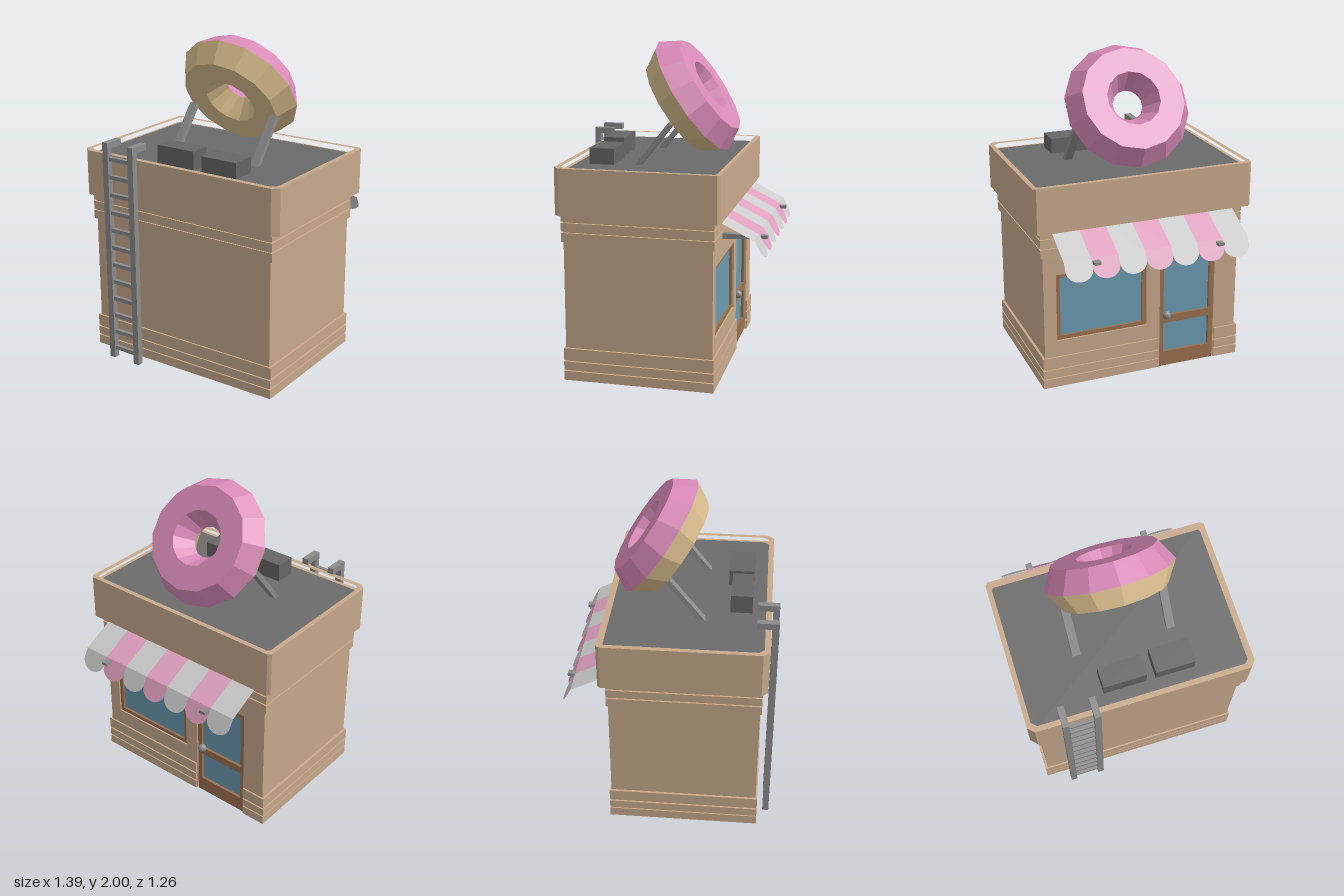
import * as THREE from 'three';

const mat = (color, opts = {}) => {
  const m = new THREE.MeshStandardMaterial({ color, ...opts });
  m.flatShading = true;
  return m;
};
const WALL = mat(0xc8a98c), ROOF = mat(0x6b6b6b), METAL = mat(0x8c8c8c), UNIT = mat(0x666666);
const WOOD = mat(0x9a7050), GLASS = mat(0x6a9ab0), DOUGH = mat(0xd8bc8c), ICING = mat(0xd98ab8);
const CLOTH = [mat(0xcccccc, { side: THREE.DoubleSide }), mat(0xe0a0c0, { side: THREE.DoubleSide })];

function add(parent, name, geometry, material) {
  const mesh = new THREE.Mesh(geometry, material);
  mesh.name = name;
  parent.add(mesh);
  return mesh;
}

// Box given by its limits on each axis
function box(parent, name, material, [x0, x1], [y0, y1], [z0, z1]) {
  const g = new THREE.BoxGeometry(x1 - x0, y1 - y0, z1 - z0);
  g.translate((x0 + x1) / 2, (y0 + y1) / 2, (z0 + z1) / 2);
  return add(parent, name, g, material);
}

const outline = (pts) => new THREE.Shape(pts.map(([a, b]) => new THREE.Vector2(a, b)));
const rect = (x0, x1, y0, y1) => outline([[x0, y0], [x1, y0], [x1, y1], [x0, y1]]);

// Horizontal slab from a plan outline of [x, z] points
function slab(parent, name, material, plan, y0, y1, hole) {
  const flip = (pts) => outline(pts.map(([x, z]) => [x, -z]));
  const shape = flip(plan);
  if (hole) shape.holes.push(flip(hole));
  const g = new THREE.ExtrudeGeometry(shape, { depth: y1 - y0, bevelEnabled: false });
  g.rotateX(-Math.PI / 2).translate(0, y0, 0);
  return add(parent, name, g, material);
}

// Upright panel with holes, between two depths
function panel(parent, name, material, shape, holes, z0, z1) {
  shape.holes.push(...holes);
  const g = new THREE.ExtrudeGeometry(shape, { depth: z1 - z0, bevelEnabled: false });
  g.translate(0, 0, z0);
  return add(parent, name, g, material);
}

// Rectangle plan with cut corners
const chamfered = (x, zb, zf, cb, cf) => [
  [-x + cb, zb], [x - cb, zb], [x, zb + cb], [x, zf - cf],
  [x - cf, zf], [-x + cf, zf], [-x, zf - cf], [-x, zb + cb],
];

function building() {
  const g = new THREE.Group();
  g.name = 'building';
  box(g, 'body', WALL, [-0.635, 0.635], [0.02, 1.04], [-0.3, 0.545]);

  // Shop wall with door notch and window opening
  const wall = outline([[-0.635, 0.02], [-0.485, 0.02], [-0.485, 0.77], [-0.115, 0.77],
    [-0.115, 0.02], [0.635, 0.02], [0.635, 1.04], [-0.635, 1.04]]);
  panel(g, 'shopWall', WALL, wall, [rect(-0.025, 0.555, 0.325, 0.755)], -0.345, -0.3);

  // Trim bands; the lower ones break at the door
  const b = 0.65, zb = -0.355, zf = 0.555;
  const full = [[-b, zb], [b, zb], [b, zf], [-b, zf]];
  const notched = [[-b, zb], [-0.49, zb], [-0.49, -0.3], [-0.11, -0.3], [-0.11, zb], [b, zb], [b, zf], [-b, zf]];
  for (const [y0, y1] of [[0.02, 0.077], [0.085, 0.137], [0.147, 0.22]]) slab(g, 'baseBand', WALL, notched, y0, y1);
  for (const [y0, y1] of [[0.875, 0.93], [0.938, 0.99], [0.998, 1.04]]) slab(g, 'upperBand', WALL, full, y0, y1);

  // Parapet and roof
  const outer = chamfered(0.695, -0.395, 0.585, 0.018, 0.038);
  const inner = chamfered(0.665, -0.365, 0.552, 0.012, 0.03);
  slab(g, 'parapet', WALL, outer, 1.04, 1.28);
  slab(g, 'parapetRim', WALL, outer, 1.28, 1.32, inner);
  slab(g, 'roof', ROOF, inner, 1.279, 1.286);
  return g;
}

function shopfront() {
  const g = new THREE.Group();
  g.name = 'shopfront';
  panel(g, 'windowFrame', WOOD, rect(-0.025, 0.555, 0.325, 0.755), [rect(0, 0.53, 0.35, 0.73)], -0.335, -0.3);
  box(g, 'windowGlass', GLASS, [0, 0.53], [0.35, 0.73], [-0.32, -0.3]);

  panel(g, 'door', WOOD, rect(-0.485, -0.115, 0.02, 0.77),
    [rect(-0.455, -0.145, 0.11, 0.31), rect(-0.455, -0.145, 0.36, 0.735)], -0.335, -0.3);
  box(g, 'doorGlass', GLASS, [-0.455, -0.145], [0.11, 0.735], [-0.318, -0.3]);
  box(g, 'doorstep', WOOD, [-0.485, -0.115], [0.012, 0.03], [-0.335, -0.23]);
  add(g, 'doorKnob', new THREE.IcosahedronGeometry(0.027, 1), METAL).position.set(-0.16, 0.37, -0.35);
  return g;
}

function awning() {
  const g = new THREE.Group();
  g.name = 'awning';
  const n = 7, w = 1.16 / n;
  for (let i = 0; i < n; i++) {
    const x = -0.58 + w * (i + 0.5);
    // Sloping stripe
    const top = new THREE.PlaneGeometry(w, 0.248);
    top.translate(0, -0.124, 0).rotateX(1.107);
    add(g, 'awningStripe', top, CLOTH[i % 2]).position.set(x, 1.04, -0.35);
    // Scalloped valance
    const s = new THREE.Shape();
    s.moveTo(w / 2, 0);
    s.lineTo(-w / 2, 0);
    s.lineTo(-w / 2, -0.055);
    s.absellipse(0, -0.055, w / 2, 0.07, Math.PI, 2 * Math.PI, false);
    s.lineTo(w / 2, 0);
    const flap = new THREE.ShapeGeometry(s, 8);
    flap.rotateX(0.5);
    add(g, 'awningScallop', flap, CLOTH[i % 2]).position.set(x, 0.93, -0.572);
  }
  // Tapered brackets
  for (const x of [-0.39, 0.39]) {
    const s = outline([[0.34, 0.885], [0.62, 0.903], [0.62, 0.92], [0.34, 0.92]]);
    const arm = new THREE.ExtrudeGeometry(s, { depth: 0.04, bevelEnabled: false });
    arm.translate(0, 0, -0.02).rotateY(Math.PI / 2);
    add(g, 'awningBracket', arm, METAL).position.x = x;
  }
  return g;
}

function donutSign() {
  const g = new THREE.Group();
  g.name = 'donutSign';
  const ring = new THREE.Group();
  ring.name = 'donut';
  const lathe = (pts) => new THREE.LatheGeometry(pts.map(([r, y]) => new THREE.Vector2(r, y)), 14);
  const h = 0.127;
  add(ring, 'icing', lathe([[0.39, 0], [0.316, h], [0.166, h], [0.093, 0]]), ICING);
  add(ring, 'dough', lathe([[0.093, 0], [0.166, -h], [0.316, -h], [0.39, 0]]), DOUGH);
  ring.position.set(0, 1.667, -0.09);
  ring.rotation.x = -0.977;
  g.add(ring);

  // Leaning struts
  for (const x of [-0.293, 0.293]) {
    const strut = add(g, 'strut', new THREE.BoxGeometry(0.05, 0.34, 0.03), METAL);
    strut.position.set(x, 1.405, 0.085);
    strut.rotation.x = -0.67;
  }
  return g;
}

function ladder() {
  const g = new THREE.Group();
  g.name = 'ladder';
  for (const x of [-0.5, -0.31]) {
    box(g, 'ladderRail', METAL, [x, x + 0.04], [0, 1.405], [0.592, 0.63]);
    box(g, 'ladderHook', METAL, [x, x + 0.04], [1.367, 1.405], [0.503, 0.592]);
  }
  for (let i = 0; i < 12; i++) {
    const y = 0.064 + i * 0.1128;
    box(g, 'ladderRung', METAL, [-0.465, -0.305], [y - 0.012, y + 0.012], [0.596, 0.62]);
  }
  return g;
}

export function createModel() {
  const model = new THREE.Group();
  model.name = 'donutShop';
  model.add(building(), shopfront(), awning(), donutSign(), ladder());
  // Rooftop units
  box(model, 'rooftopUnit', UNIT, [-0.21, 0.053], [1.28, 1.4], [0.34, 0.47]);
  box(model, 'rooftopUnit', UNIT, [0.11, 0.35], [1.28, 1.383], [0.317, 0.47]);
  return model;
}
